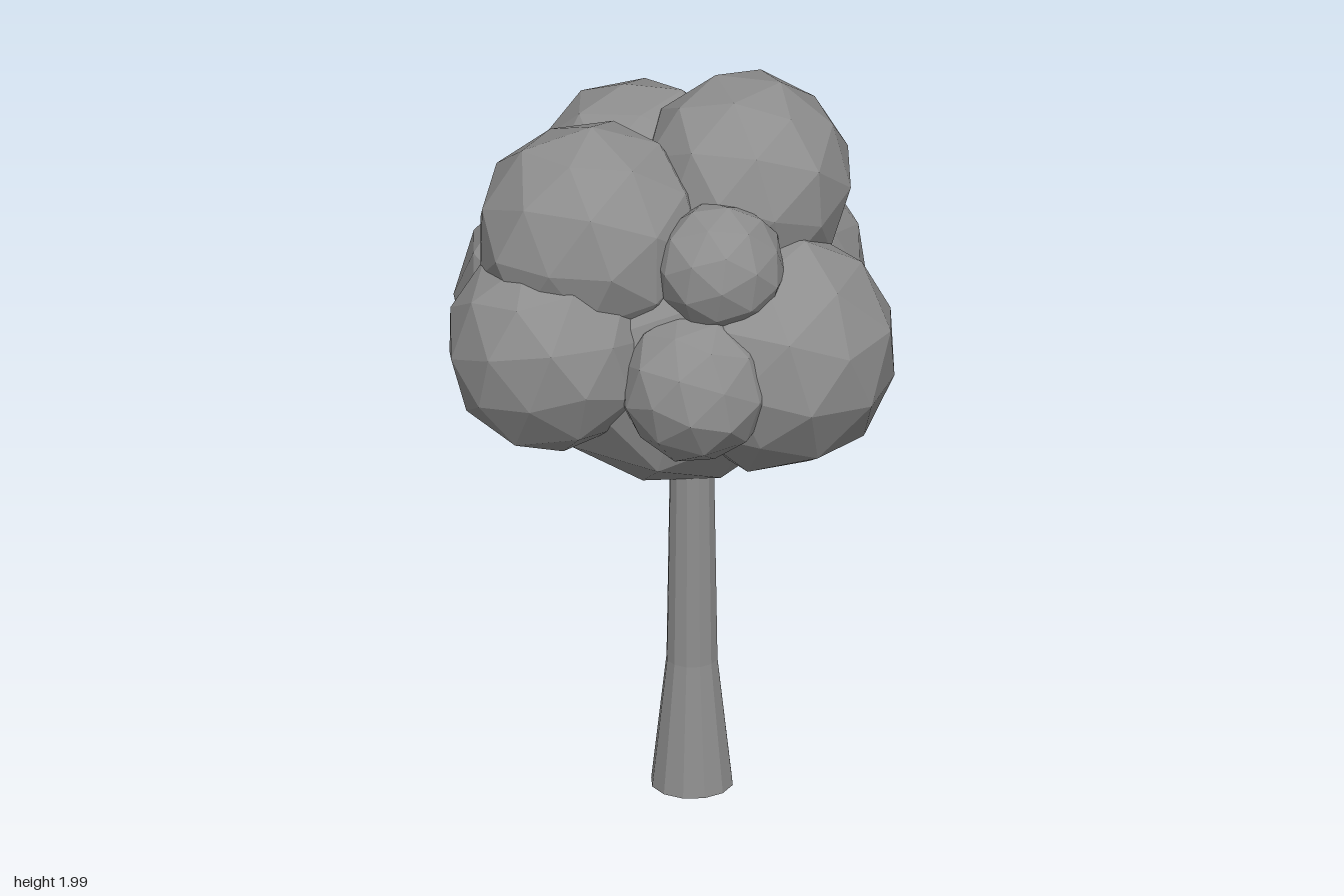
import * as THREE from 'three';

const material = new THREE.MeshStandardMaterial({ color: 0x8e8e8e, flatShading: true, side: THREE.DoubleSide });

// Faceted leaf clump: a low-poly sphere, turned and made slightly uneven
function clump(name, x, y, z, r, turn) {
  const geometry = new THREE.IcosahedronGeometry(r, 1);
  const p = geometry.attributes.position;
  const v = new THREE.Vector3();
  for (let i = 0; i < p.count; i++) {
    v.fromBufferAttribute(p, i);
    const n = v.clone().divideScalar(r);
    v.multiplyScalar(1 + 0.025 * Math.sin(4 * n.x + turn) * Math.cos(5 * n.y - 3 * n.z + turn));
    p.setXYZ(i, v.x, v.y, v.z);
  }
  geometry.rotateX(turn * 0.7);
  geometry.rotateY(turn * 1.3);
  geometry.computeVertexNormals();
  const mesh = new THREE.Mesh(geometry, material);
  mesh.name = name;
  mesh.position.set(x, y, z);
  return mesh;
}

export function createModel() {
  const tree = new THREE.Group();
  tree.name = 'tree';

  // Trunk: flared foot, then a slim stem running up into the leaves
  const profile = [[0.112, 0], [0.07, 0.37], [0.061, 0.93], [0.06, 1.05]]
    .map(([r, y]) => new THREE.Vector2(r, y));
  const trunk = new THREE.Mesh(new THREE.LatheGeometry(profile, 12), material);
  trunk.name = 'trunk';
  trunk.position.set(0.073, 0, 0.097);
  tree.add(trunk);

  // Crown: overlapping clumps around a central core (x, y, z, radius)
  const crown = new THREE.Group();
  crown.name = 'crown';
  [
    ['coreClump', 0, 1.295, 0, 0.425],
    ['upperFrontClump', -0.195, 1.62, 0.155, 0.315],
    ['topClump', 0.18, 1.715, -0.09, 0.293],
    ['upperBackClump', -0.14, 1.62, -0.195, 0.288],
    ['lowerBackClump', -0.3, 1.285, -0.165, 0.335],
    ['backClump', 0.18, 1.37, -0.305, 0.283],
    ['sideClump', 0.298, 1.305, 0.09, 0.335],
    ['lowerFrontClump', -0.27, 1.352, 0.292, 0.29],
    ['smallFrontClump', 0.14, 1.3, 0.35, 0.208],
    ['smallUpperClump', 0.18, 1.605, 0.24, 0.178],
  ].forEach(([name, x, y, z, r], i) => crown.add(clump(name, x, y, z, r, 0.6 + i * 1.7)));
  tree.add(crown);

  return tree;
}
